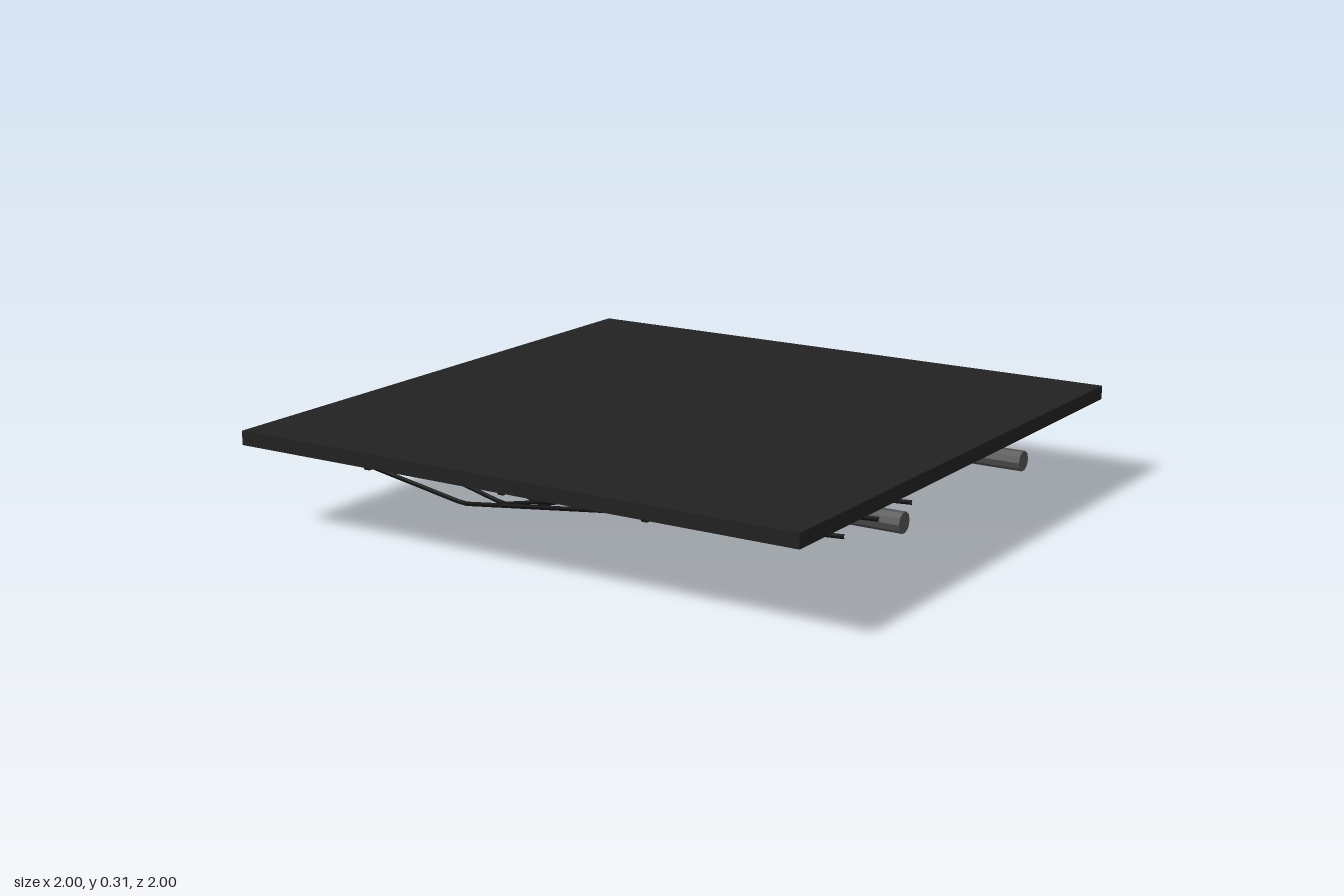
import * as THREE from 'three';

const mat = (name, color, flatShading = false) => {
  const m = new THREE.MeshStandardMaterial({ color, flatShading });
  m.name = name;
  return m;
};

export function createModel() {
  const group = new THREE.Group();
  const slab = mat('charcoal panel', 0x222222);
  const seamDark = mat('dark seam', 0x151515);
  const steel = mat('grey steel', 0x555555, true);
  const rubber = mat('black cable', 0x111111);

  const add = (name, geometry, material, x, y, z) => {
    const mesh = new THREE.Mesh(geometry, material);
    mesh.name = name;
    mesh.position.set(x, y, z);
    group.add(mesh);
    return mesh;
  };

  // Ceiling slab with thin seams beneath
  add('ceilingPanel', new THREE.BoxGeometry(2, 0.046, 2), slab, 0, 0.287, 0);
  for (const x of [-0.5, 0, 0.5]) {
    add('panelSeam', new THREE.BoxGeometry(0.02, 0.008, 2), seamDark, x, 0.263, 0);
  }

  // Two pipes, each hung on a pair of brackets
  for (const z of [-0.4, 0.4]) {
    const pipe = add('pipe', new THREE.CylinderGeometry(0.033, 0.033, 2, 10), steel, 0, 0.187, z);
    pipe.rotation.z = Math.PI / 2;
    for (const x of [-0.6, 0.6]) {
      add('pipeHanger', new THREE.BoxGeometry(0.018, 0.07, 0.05), steel, x, 0.23, z);
    }
  }

  // Sagging cables: straight runs between four points
  const cable = (z, low) => {
    const path = new THREE.CurvePath();
    const points = [[-1, 0.235, z], [-0.35, low, z - 0.025], [0.3, 0.2, z + 0.025], [1, 0.235, z]]
      .map((p) => new THREE.Vector3(...p));
    for (let i = 0; i < 3; i++) path.add(new THREE.LineCurve3(points[i], points[i + 1]));
    add('hangingCable', new THREE.TubeGeometry(path, 60, 0.007, 6), rubber, 0, 0, 0);
  };
  [[0.35, 0.008], [0.55, 0.06], [0.75, 0.11]].forEach(([z, low]) => cable(z, low));

  return group;
}
